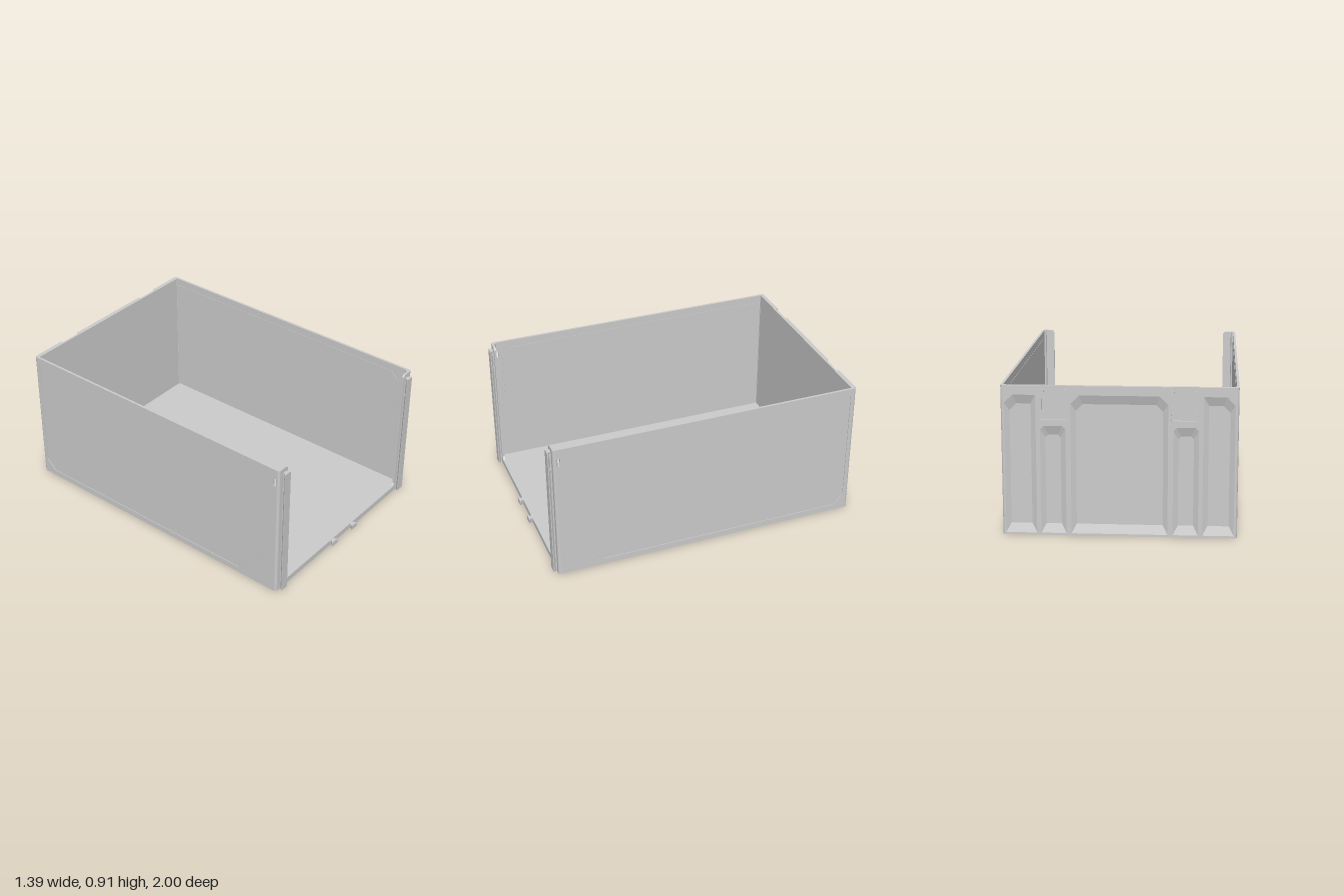
import * as THREE from 'three';

const H = 0.905;
const mat = new THREE.MeshStandardMaterial({ color: 0xcccccc, flatShading: true, side: THREE.DoubleSide });
const V = (pts) => pts.map(([x, y]) => new THREE.Vector2(x, y));

function add(parent, name, geo, x = 0, y = 0, z = 0) {
  const mesh = new THREE.Mesh(geo, mat);
  mesh.name = name;
  mesh.position.set(x, y, z);
  parent.add(mesh);
  return mesh;
}

function slab(outline, holes, depth) {
  const shape = new THREE.Shape(V(outline));
  for (const h of holes) shape.holes.push(new THREE.Path(V(h)));
  return new THREE.ExtrudeGeometry(shape, { depth, bevelEnabled: false });
}

const rect = (x0, y0, x1, y1) => [[x0, y0], [x1, y0], [x1, y1], [x0, y1]];
const mirror = (pts) => pts.map(([x, y]) => [-x, y]);

// Rectangle with cut top corners: cl on the low-x side, cr on the high-x side
const pocket = (x0, y0, x1, y1, cl, cr) =>
  [[x0, y0], [x1, y0], [x1, y1 - cr], [x1 - cr, y1], [x0 + cl, y1], [x0, y1 - cl]];

// Sloping sides between a pocket's rim and its smaller floor
function taper(rim, floor, z0, z1) {
  const pos = [];
  rim.forEach((a, i) => {
    const j = (i + 1) % rim.length, b = rim[j], c = floor[j], d = floor[i];
    const A = [...a, z0], B = [...b, z0], C = [...c, z1], D = [...d, z1];
    pos.push(...A, ...B, ...C, ...A, ...C, ...D);
  });
  const g = new THREE.BufferGeometry();
  g.setAttribute('position', new THREE.Float32BufferAttribute(pos, 3));
  g.computeVertexNormals();
  return g;
}

// Dovetail profile in plan, extruded upwards
function dovetail(height) {
  const g = slab([[-0.016, 0], [-0.016, -0.01], [-0.026, -0.022], [-0.026, -0.027],
    [0.026, -0.027], [0.026, -0.022], [0.016, -0.01], [0.016, 0]], [], height);
  return g.rotateX(-Math.PI / 2);
}

export function createModel() {
  const bin = new THREE.Group();
  bin.name = 'openFrontBin';

  add(bin, 'floor', new THREE.BoxGeometry(1.365, 0.022, 1.95), 0, 0.011, -0.01);

  // Side walls: frame with a window, and a slightly inset panel
  const panel = [[0.905, 0.26], [0.905, 0.79], [0.84, 0.855], [-0.965, 0.855],
    [-0.965, 0.105], [-0.9, 0.04], [0.685, 0.04]];
  const windowHole = rect(0.932, 0.79, 0.956, 0.843);
  const frameGeo = slab(rect(-0.985, 0, 0.96, H), [panel, windowHole], 0.015).rotateY(-Math.PI / 2);
  const panelGeo = slab(panel, [], 0.013).rotateY(-Math.PI / 2);
  for (const s of [-1, 1]) {
    add(bin, 'sideWallFrame', frameGeo, s > 0 ? 0.695 : -0.68);
    add(bin, 'sideWallPanel', panelGeo, s > 0 ? 0.691 : -0.678);
    // Rounded vertical corners
    for (const z of [-0.985, 0.96])
      add(bin, 'corner', new THREE.CylinderGeometry(0.015, 0.015, H, 16), s * 0.68, H / 2, z);
  }

  // Back wall: solid sheet with a ribbed plate on the outside
  const back = new THREE.Group();
  back.name = 'backWall';
  bin.add(back);
  add(back, 'backSheet', new THREE.BoxGeometry(1.36, H, 0.01), 0, H / 2, -0.977);

  // Pocket sizes: x0, y0, x1, y1, cut corners
  const specs = [
    [-0.285, 0.012, 0.285, 0.85, 0.05, 0.05],
    [0.315, 0.012, 0.465, 0.665, 0.02, 0.02],
    [0.49, 0.012, 0.675, 0.85, 0.005, 0.05],
  ];
  const rims = [], floors = [];
  specs.forEach(([x0, y0, x1, y1, cl, cr], i) => {
    const rim = pocket(x0, y0, x1, y1, cl, cr);
    const floor = pocket(x0 + 0.03, y0 + 0.055, x1 - 0.03, y1 - 0.055, cl * 0.8, cr * 0.8);
    rims.push(rim);
    floors.push(floor);
    if (i) {
      rims.push(mirror(rim));
      floors.push(mirror(floor));
    }
  });
  const outline = [[-0.68, 0], [0.68, 0], [0.68, H], [0.455, H], [0.455, 0.705], [0.305, 0.705],
    [0.305, H], [-0.305, H], [-0.305, 0.705], [-0.455, 0.705], [-0.455, H], [-0.68, H]];
  add(back, 'ribbedPlate', slab(outline, rims, 0.018), 0, 0, -1);
  rims.forEach((rim, i) => add(back, 'pocketSides', taper(rim, floors[i], -1, -0.982)));

  // Latch sockets at the top of the back wall
  for (const s of [-1, 1]) {
    add(back, 'socketFloor', new THREE.BoxGeometry(0.15, 0.2, 0.005), s * 0.38, 0.805, -0.984);
    for (const e of [-1, 1]) {
      add(back, 'socketCatch', new THREE.BoxGeometry(0.016, 0.05, 0.012), s * 0.38 + e * 0.067, 0.855, -0.992);
      add(back, 'socketStop', new THREE.BoxGeometry(0.012, 0.04, 0.012), s * 0.38 + e * 0.069, 0.735, -0.992);
    }
  }

  // Front frame: two flanges joined by a low lip
  const half = [[0.68, 0], [0.68, H], [0.625, H], [0.61, 0.888], [0.61, 0.055], [0.59, 0.036]];
  const frontOutline = [...half, ...mirror(half).reverse()];
  add(bin, 'frontFrame', slab(frontOutline, [], 0.015), 0, 0, 0.96);

  // Dovetail rails on the flanges and short tabs on the lip
  const railGeo = dovetail(0.873), tabGeo = dovetail(0.03);
  for (const s of [-1, 1]) {
    add(bin, 'rail', railGeo, s * 0.642, 0.005, 0.973);
    add(bin, 'lipTab', tabGeo, s * 0.107, 0.005, 0.973);
    for (const y of [0.855, 0.76]) {
      const nub = add(bin, 'railDetent', new THREE.CylinderGeometry(0.01, 0.01, 0.046, 12), s * 0.642, y, 0.984);
      nub.rotation.z = Math.PI / 2;
    }
  }
  return bin;
}
